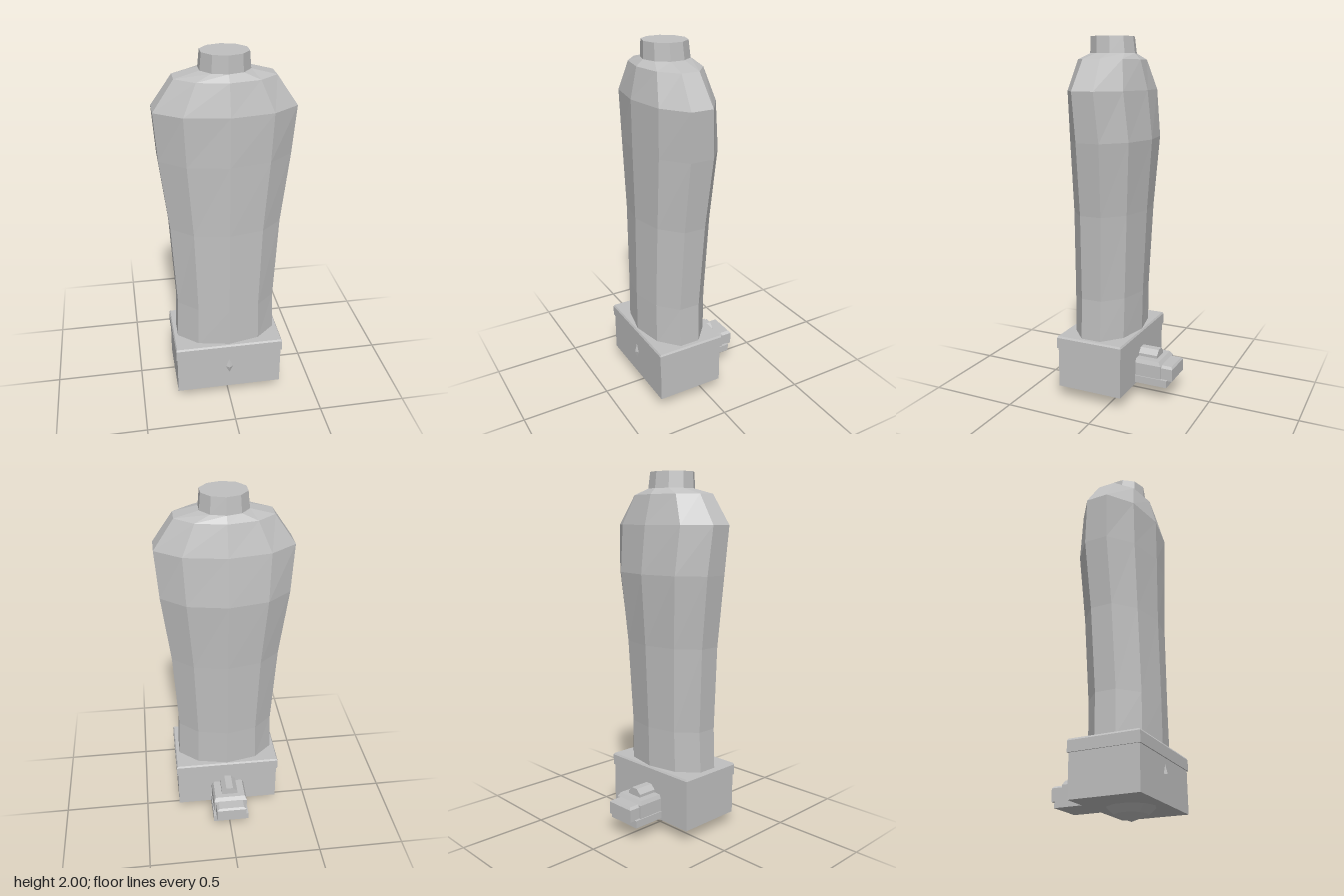
import * as THREE from 'three';

// Lofts stacked rings [y, halfWidth, zBack, zFront], bottom to top, with closed ends.
// unit is the list of [x, z] outline points in the range -1..1, counterclockwise from above.
function loft(name, unit, rings, material) {
  const n = unit.length, pos = [];
  const point = ([y, w, z0, z1], i) => {
    const [x, z] = unit[i % n];
    return [x * w, y, (z0 + z1) / 2 + z * (z1 - z0) / 2];
  };
  const centre = ([y, , z0, z1]) => [0, y, (z0 + z1) / 2];
  const tri = (a, b, c) => pos.push(...a, ...b, ...c);
  const first = rings[0], last = rings[rings.length - 1];
  for (let i = 0; i < n; i++) {
    for (let r = 0; r < rings.length - 1; r++) {
      const a = point(rings[r], i), b = point(rings[r], i + 1);
      const c = point(rings[r + 1], i + 1), d = point(rings[r + 1], i);
      if (rings[r][1] > 0) tri(a, b, c);
      if (rings[r + 1][1] > 0) tri(a, c, d);
      if (rings[r + 1][1] === 0 && rings[r][1] > 0) continue;
    }
    if (first[1] > 0) tri(centre(first), point(first, i + 1), point(first, i));
    if (last[1] > 0) tri(centre(last), point(last, i), point(last, i + 1));
  }
  const geometry = new THREE.BufferGeometry();
  geometry.setAttribute('position', new THREE.Float32BufferAttribute(pos, 3));
  geometry.computeVertexNormals();
  const mesh = new THREE.Mesh(geometry, material);
  mesh.name = name;
  return mesh;
}

export function createModel() {
  const group = new THREE.Group();
  group.name = 'grip';
  const grey = new THREE.MeshStandardMaterial({ color: 0xc0c0c0, flatShading: true });
  grey.name = 'light grey';

  // Outlines: decagon stretched to unit width, square, and diamond
  const decagon = Array.from({ length: 10 }, (_, i) => {
    const a = i * Math.PI / 5;
    return [Math.sin(a) / Math.sin(Math.PI * 0.4), Math.cos(a)];
  });
  const square = [[-1, 1], [1, 1], [1, -1], [-1, -1]];
  const diamond = [[0, 1], [1, 0], [0, -1], [-1, 0]];
  const add = (name, unit, rings) => group.add(loft(name, unit, rings, grey));

  // Handle with swelling top and sloped shoulders
  add('handle', decagon, [
    [0.36, 0.28, -0.085, 0.285],
    [0.6, 0.272, -0.09, 0.285],
    [1.07, 0.298, -0.112, 0.28],
    [1.46, 0.345, -0.14, 0.285],
    [1.72, 0.364, -0.112, 0.286],
    [1.88, 0.255, -0.07, 0.25],
    [1.912, 0.127, -0.038, 0.213],
  ]);
  add('topCap', decagon, [
    [1.91, 0.127, -0.038, 0.213],
    [2.0, 0.119, -0.027, 0.21],
  ]);

  // Base block and its raised rim
  add('baseBlock', square, [
    [0.07, 0.3, -0.088, 0.294],
    [0.31, 0.3, -0.088, 0.294],
  ]);
  add('baseRim', square, [
    [0.3, 0.306, -0.095, 0.3],
    [0.36, 0.306, -0.095, 0.3],
    [0.37, 0.3, -0.089, 0.294],
  ]);

  // Faceted stud below and small stud on the front
  add('bottomStud', decagon, [
    [0, 0, 0.105, 0.105],
    [0.034, 0.085, 0.018, 0.192],
    [0.07, 0.12, -0.025, 0.235],
  ]);
  add('frontStud', diamond, [
    [0.165, 0, 0.292, 0.292],
    [0.215, 0.024, 0.277, 0.307],
    [0.275, 0, 0.292, 0.292],
  ]);

  // Stepped latch on the back
  add('latchPlate', square, [
    [0.083, 0.104, -0.28, -0.08],
    [0.125, 0.104, -0.28, -0.08],
  ]);
  add('latchTongue', square, [
    [0.12, 0.088, -0.308, -0.1],
    [0.19, 0.088, -0.308, -0.1],
    [0.202, 0.073, -0.299, -0.1],
  ]);
  add('latchBody', square, [
    [0.12, 0.098, -0.242, -0.08],
    [0.2, 0.098, -0.242, -0.08],
    [0.222, 0.088, -0.226, -0.08],
  ]);

  // Sloped thumb bump on the latch
  const bump = new THREE.Shape([
    [-0.046, 0.215], [0.046, 0.215], [0.046, 0.238], [0.02, 0.265], [-0.02, 0.265], [-0.046, 0.238],
  ].map(([x, y]) => new THREE.Vector2(x, y)));
  const bumpGeometry = new THREE.ExtrudeGeometry(bump, { depth: 0.115, bevelEnabled: false });
  bumpGeometry.translate(0, 0, -0.2);
  const thumbBump = new THREE.Mesh(bumpGeometry, grey);
  thumbBump.name = 'thumbBump';
  group.add(thumbBump);

  return group;
}
